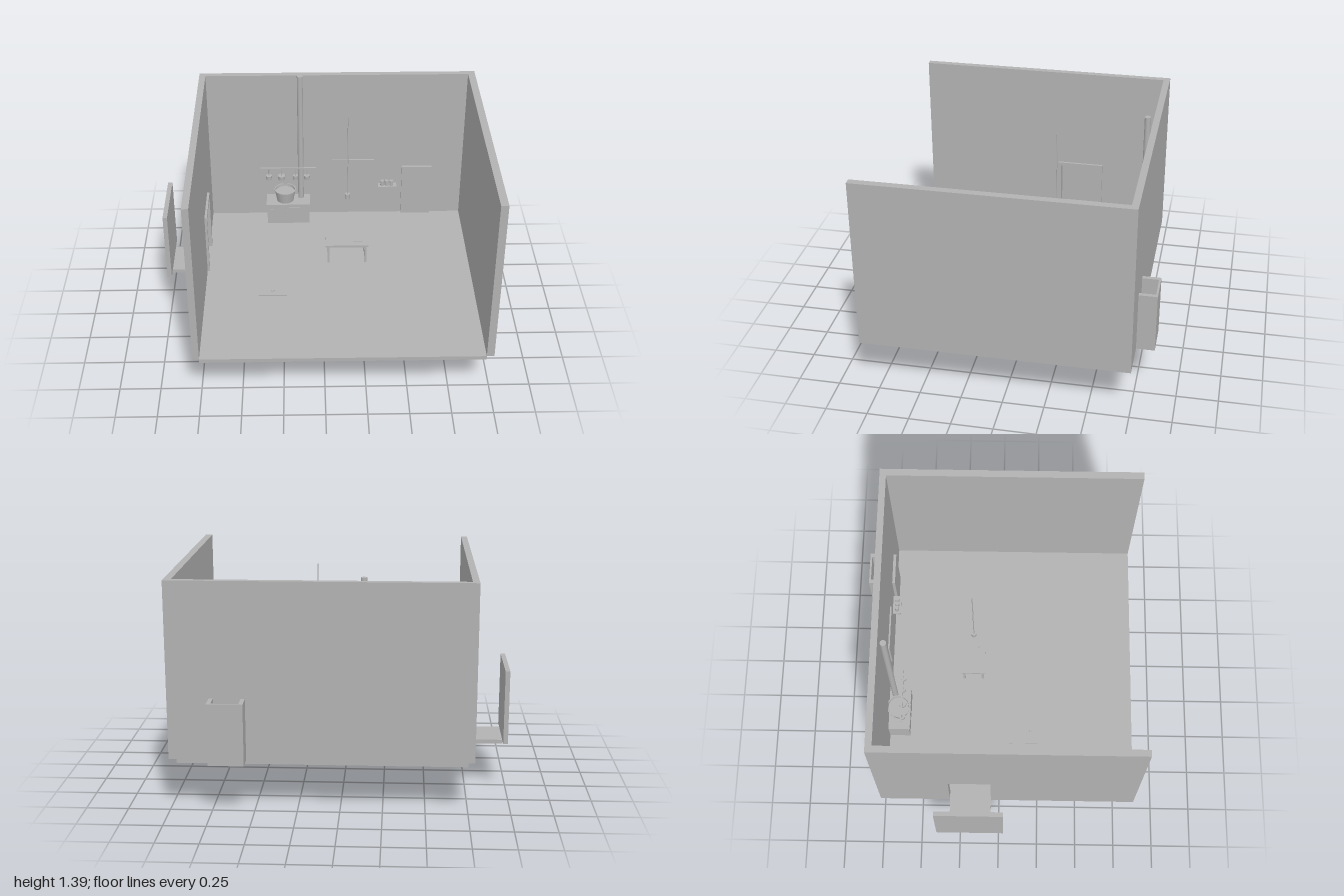
import * as THREE from 'three';

export function createModel() {
  const room = new THREE.Group();
  room.name = 'kitchenRoom';
  const grey = new THREE.MeshStandardMaterial({ color: 0xb2b2b2 });
  grey.name = 'plain grey';

  const add = (name, geometry, parent = room) => {
    const mesh = new THREE.Mesh(geometry, grey);
    mesh.name = name;
    parent.add(mesh);
    return mesh;
  };
  // Box given by its limits on each axis
  const box = (name, x0, x1, y0, y1, z0, z1, parent) => {
    const m = add(name, new THREE.BoxGeometry(x1 - x0, y1 - y0, z1 - z0), parent);
    m.position.set((x0 + x1) / 2, (y0 + y1) / 2, (z0 + z1) / 2);
    return m;
  };
  // Upright cylinder from y0 to y1
  const rod = (name, x, z, y0, y1, rBottom, rTop = rBottom, parent = room, sides = 16) => {
    const m = add(name, new THREE.CylinderGeometry(rTop, rBottom, y1 - y0, sides), parent);
    m.position.set(x, (y0 + y1) / 2, z);
    return m;
  };
  const group = (name) => {
    const g = new THREE.Group();
    g.name = name;
    room.add(g);
    return g;
  };
  // Outline in (z, y), given depth towards -x from the plane x
  const sidePanel = (name, points, x, depth) => {
    const shape = new THREE.Shape(points.map(([z, y]) => new THREE.Vector2(z, y)));
    const m = add(name, new THREE.ExtrudeGeometry(shape, { depth, bevelEnabled: false }));
    m.rotation.y = -Math.PI / 2;
    m.position.x = x;
    return m;
  };

  const F = 0.315, TOP = 1.375;

  // Floor and walls
  box('floor', -0.745, 0.955, 0.29, F, -0.745, 0.855);
  box('backWall', -0.745, 0.955, F, TOP, -0.75, -0.71);
  box('leftWall', 0.955, 1, F, TOP, -0.75, 0.855);
  sidePanel('doorwayWall', [
    [-0.75, F], [-0.31, F], [-0.31, 0.705], [-0.05, 0.705], [-0.05, F],
    [0.855, F], [0.855, TOP], [-0.75, TOP],
  ], -0.745, 0.04);

  // Doorway trim, step and outside screen
  sidePanel('doorFrame', [
    [-0.33, F], [-0.31, F], [-0.31, 0.705], [-0.05, 0.705], [-0.05, F],
    [-0.03, F], [-0.03, 0.725], [-0.33, 0.725],
  ], -0.73, 0.015);
  box('doorStep', -0.975, -0.745, 0.29, F, -0.31, -0.05);
  box('doorScreen', -1, -0.972, F, 0.77, -0.39, 0.03);

  // Closet behind the back wall, open above and below
  const closet = group('closet');
  box('closetDoor', 0.55, 0.75, F, 0.685, -0.71, -0.692, closet);
  box('closetBack', 0.545, 0.755, F, 0.685, -0.86, -0.848, closet);
  for (const x of [0.545, 0.73]) box('closetSide', x, x + 0.025, F, 0.685, -0.848, -0.75, closet);
  const knob = rod('closetKnob', 0.69, -0.77, 0.49, 0.51, 0.012, 0.012, closet);
  box('closetKnobStem', 0.686, 0.694, 0.496, 0.504, -0.77, -0.75, closet);
  knob.position.z = -0.785;

  // Cellar shaft under the floor with its hatch
  const cellar = group('cellar');
  for (const z of [0.06, 0.235]) box('cellarEnd', -0.41, -0.23, 0, 0.29, z, z + 0.01, cellar);
  for (const x of [-0.407, -0.243]) box('cellarSide', x, x + 0.01, 0, 0.29, 0.07, 0.235, cellar);
  box('cellarBottom', -0.4, -0.24, 0, 0.01, 0.07, 0.235, cellar);
  box('hatch', -0.41, -0.23, F, 0.322, 0.06, 0.245, cellar);
  rod('hatchKnob', -0.32, 0.2, 0.322, 0.328, 0.01, 0.01, cellar);

  // Stove with doors, flue and cooking pot
  const stove = group('stove');
  box('stoveBody', -0.365, -0.08, F, 0.458, -0.71, -0.58, stove);
  box('stoveTop', -0.37, -0.075, 0.458, 0.466, -0.71, -0.575, stove);
  box('fireDoor', -0.345, -0.245, 0.36, 0.43, -0.58, -0.576, stove);
  box('ovenDoor', -0.22, -0.1, 0.34, 0.44, -0.58, -0.576, stove);
  rod('flue', -0.136, -0.675, 0.466, 1.388, 0.019, 0.019, stove, 12);
  const potProfile = [[0, 0], [0.056, 0], [0.07, 0.078], [0.073, 0.08], [0.073, 0.084],
    [0.066, 0.084], [0.064, 0.066], [0, 0.066]];
  const potGeometry = new THREE.LatheGeometry(potProfile.map(([r, y]) => new THREE.Vector2(r, y)), 24).toNonIndexed();
  potGeometry.computeVertexNormals();
  add('cookingPot', potGeometry, stove).position.set(-0.243, 0.466, -0.645);

  // Rack with hanging pans
  const rack = group('panRack');
  box('rackBar', -0.405, -0.035, 0.729, 0.738, -0.615, -0.605, rack);
  [[-0.35, 0.02], [-0.265, 0.025], [-0.172, 0.018], [-0.095, 0.02]].forEach(([x, r]) => {
    rod('panHook', x, -0.61, 0.68, 0.73, 0.004, 0.004, rack, 8);
    rod('pan', x, -0.61, 0.65, 0.678, r * 0.9, r, rack);
  });

  // Table with a small knife
  const table = group('table');
  box('tableTop', 0.02, 0.3, 0.443, 0.455, -0.255, -0.1, table);
  box('tableApron', 0.035, 0.285, 0.432, 0.443, -0.243, -0.112, table);
  for (const x of [0.033, 0.273])
    for (const z of [-0.245, -0.125]) box('tableLeg', x, x + 0.014, F, 0.443, z, z + 0.014, table);
  box('knife', 0.2, 0.26, 0.455, 0.458, -0.15, -0.14, table);

  // Hanging lamp
  rod('lampCord', 0.16, -0.17, 0.81, 1.37, 0.003, 0.003, room, 8);
  rod('lampShade', 0.16, -0.17, 0.775, 0.81, 0.016);

  // Wall board and shelf with jars
  box('wallBoard', 0.075, 0.36, 0.5, 0.74, -0.71, -0.7);
  box('shelf', 0.39, 0.515, 0.54, 0.55, -0.71, -0.658);
  for (const x of [0.418, 0.448, 0.48]) rod('jar', x, -0.682, 0.55, 0.586, 0.013);

  return room;
}
